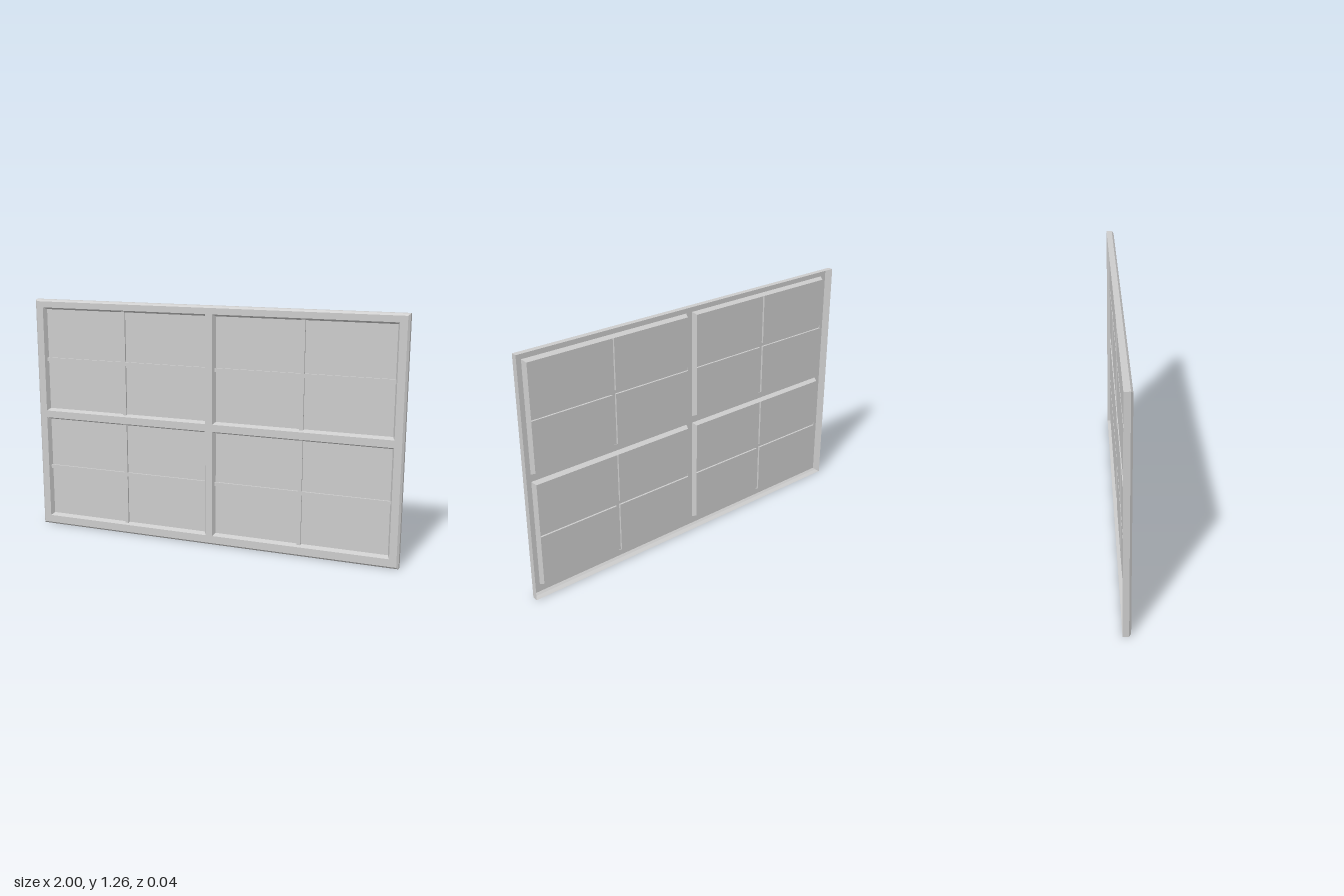
import * as THREE from 'three';

const material = new THREE.MeshStandardMaterial({ color: 0xcccccc, side: THREE.DoubleSide, flatShading: true });

const W = 1, H = 1.26;                          // half width, full height
const FRONT = 0.02, BACK = -0.02, CHAMFER = 0.01;
const PANE = -0.005, BAR = 0.005;               // depths of the panes and glazing bars
const SLOPE = 0.011, HALF_BAR = 0.01;           // slant of the reveal, half width of a bar

// Flat four-cornered faces, corners listed counter-clockwise seen from outside
function quadMesh(name, quads) {
  const pos = [];
  for (const [a, b, c, d] of quads) pos.push(...a, ...b, ...c, ...a, ...c, ...d);
  const g = new THREE.BufferGeometry();
  g.setAttribute('position', new THREE.Float32BufferAttribute(pos, 3));
  g.computeVertexNormals();
  const m = new THREE.Mesh(g, material);
  m.name = name;
  return m;
}

// Corners of a rectangle [x0, y0, x1, y1] at depth z
const corners = ([x0, y0, x1, y1], z) => [[x0, y0, z], [x1, y0, z], [x1, y1, z], [x0, y1, z]];
const inset = ([x0, y0, x1, y1], d) => [x0 + d, y0 + d, x1 - d, y1 - d];

// Four faces joining two rectangles
function band(r0, z0, r1, z1) {
  const a = corners(r0, z0), b = corners(r1, z1);
  return a.map((p, i) => [p, a[(i + 1) % 4], b[(i + 1) % 4], b[i]]);
}

function trace(path, [x0, y0, x1, y1]) {
  path.moveTo(x0, y0);
  path.lineTo(x1, y0);
  path.lineTo(x1, y1);
  path.lineTo(x0, y1);
  path.closePath();
  return path;
}

// Sloped reveal, four panes and a raised cross of hollow glazing bars
function buildWindow(r) {
  const group = new THREE.Group();
  group.name = 'windowPanel';
  const inner = inset(r, SLOPE);
  group.add(quadMesh('reveal', band(r, FRONT, inner, PANE)));

  const cx = (r[0] + r[2]) / 2, cy = (r[1] + r[3]) / 2, h = HALF_BAR;
  const [x0, y0, x1, y1] = inner;
  const panes = [], walls = [];
  for (const [a, b] of [[x0, cx - h], [cx + h, x1]])
    for (const [c, d] of [[y0, cy - h], [cy + h, y1]]) panes.push(corners([a, c, b, d], PANE));
  group.add(quadMesh('panes', panes));

  // Bar fronts reach out to the sloped reveal
  const reach = SLOPE * (BAR - PANE) / (FRONT - PANE);
  const [ox0, oy0, ox1, oy1] = inset(inner, -reach);
  const faces = [
    corners([cx - h, oy0, cx + h, oy1], BAR),
    corners([ox0, cy - h, cx - h, cy + h], BAR),
    corners([cx + h, cy - h, ox1, cy + h], BAR)
  ];
  // Bar sides, broken at the crossing
  for (const s of [-1, 1]) {
    const x = cx + s * h, y = cy + s * h;
    for (const [a, b, oa, ob] of [[y0, cy - h, oy0, cy - h], [cy + h, y1, cy + h, oy1]]) {
      const q = [[x, a, PANE], [x, b, PANE], [x, ob, BAR], [x, oa, BAR]];
      walls.push(s > 0 ? q : q.reverse());
    }
    for (const [a, b, oa, ob] of [[x0, cx - h, ox0, cx - h], [cx + h, x1, cx + h, ox1]]) {
      const q = [[a, y, PANE], [b, y, PANE], [ob, y, BAR], [oa, y, BAR]];
      walls.push(s > 0 ? q.reverse() : q);
    }
  }
  group.add(quadMesh('glazingBars', [...faces, ...walls]));
  return group;
}

export function createModel() {
  const model = new THREE.Group();
  model.name = 'windowFrame';

  const openings = [];
  for (const [x0, x1] of [[-0.953, -0.019], [0.019, 0.953]])
    for (const [y0, y1] of [[0.05, 0.615], [0.653, 1.218]]) openings.push([x0, y0, x1, y1]);

  // Front sheet with four openings
  const outer = [-W, 0, W, H], face = inset(outer, CHAMFER);
  const shape = trace(new THREE.Shape(), face);
  for (const r of openings) shape.holes.push(trace(new THREE.Path(), r));
  const sheet = new THREE.Mesh(new THREE.ShapeGeometry(shape), material);
  sheet.name = 'frameFace';
  sheet.position.z = FRONT;
  model.add(sheet);

  // Outer rim with a chamfered front edge, open at the back
  model.add(quadMesh('frameRim', [
    ...band(outer, BACK, outer, FRONT - CHAMFER),
    ...band(outer, FRONT - CHAMFER, face, FRONT)
  ]));

  for (const r of openings) model.add(buildWindow(r));
  return model;
}
